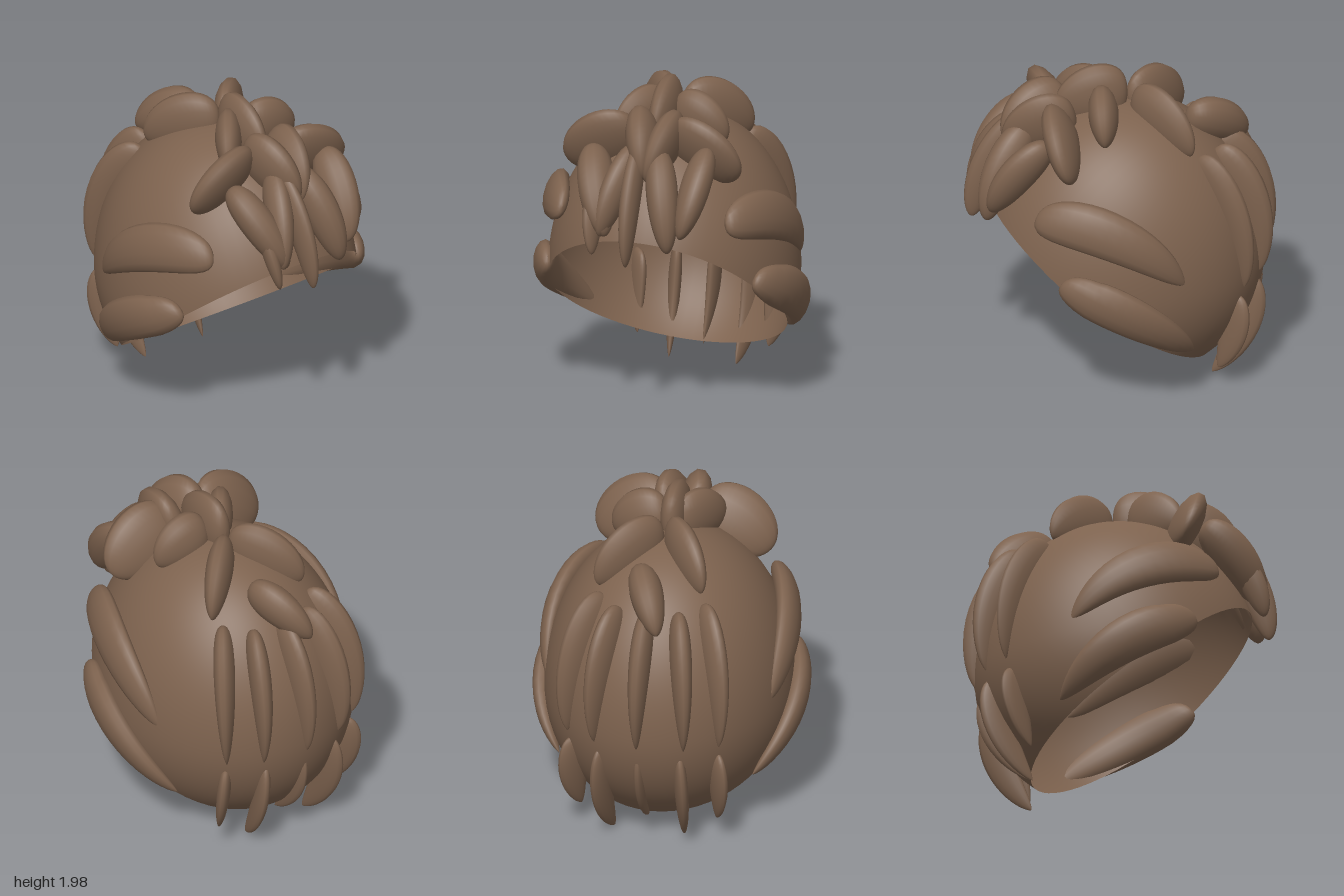
import * as THREE from 'three';

// The dome is an ellipsoid that is taller above its middle than below
const CENTER = new THREE.Vector3(0, 0.75, 0);
const radii = (up) => new THREE.Vector3(0.74, up ? 0.99 : 0.8, 0.86);
const toUnit = (p) => new THREE.Vector3(...p).sub(CENTER).divide(radii(p[1] > CENTER.y));
const toWorld = (u) => u.multiply(radii(u.y > 0)).add(CENTER);

// Point on an arc that follows the dome from root to tip
function arcPoint(a, b, t) {
  const dir = a.clone().normalize().lerp(b.clone().normalize(), t).normalize();
  return toWorld(dir.multiplyScalar(THREE.MathUtils.lerp(a.length(), b.length(), t)));
}

// Curved teardrop lock: w across the dome, d away from it, bow sideways; a low taper gives a blunt tip
function lockGeometry(root, tip, w, d, bow, taper) {
  const a = toUnit(root), b = toUnit(tip);
  const rings = 22, sides = 14, pos = [], idx = [];
  const swell = (t) => Math.pow(t, 0.4) * Math.pow(1 - t, taper);
  const peak = swell(0.4 / (0.4 + taper));
  for (let i = 0; i <= rings; i++) {
    const t = (1 - Math.cos((Math.PI * i) / rings)) / 2;
    const p = arcPoint(a, b, t);
    const T = arcPoint(a, b, t + 0.01).sub(arcPoint(a, b, t - 0.01)).normalize();
    const R = radii(p.y > CENTER.y);
    const N = p.clone().sub(CENTER).divide(R).divide(R);
    N.addScaledVector(T, -N.dot(T)).normalize();
    const B = new THREE.Vector3().crossVectors(T, N);
    p.addScaledVector(B, bow * Math.sin(Math.PI * t));
    const r = Math.max(0.005, swell(Math.min(t, 1)) / peak);
    for (let j = 0; j < sides; j++) {
      const q = (j / sides) * Math.PI * 2;
      const v = p.clone().addScaledVector(B, w * r * Math.cos(q)).addScaledVector(N, d * r * Math.sin(q));
      pos.push(v.x, v.y, v.z);
      if (i < rings) {
        const k = i * sides + j, n = i * sides + ((j + 1) % sides);
        idx.push(k, k + sides, n, k + sides, n + sides, n);
      }
    }
  }
  const g = new THREE.BufferGeometry();
  g.setAttribute('position', new THREE.Float32BufferAttribute(pos, 3));
  g.setIndex(idx);
  g.computeVertexNormals();
  return g;
}

// Open cap, cut along a slope from the forehead down to the nape
function capGeometry() {
  const g = new THREE.SphereGeometry(1, 64, 40, 0, Math.PI * 2, 0, 1.82);
  g.rotateX(-0.66);
  const pos = g.attributes.position, normal = g.attributes.normal;
  for (let i = 0; i < pos.count; i++) {
    const u = new THREE.Vector3().fromBufferAttribute(pos, i);
    const n = u.clone().divide(radii(u.y > 0)).normalize();
    const p = toWorld(u);
    pos.setXYZ(i, p.x, p.y, p.z);
    normal.setXYZ(i, n.x, n.y, n.z);
  }
  return g;
}

export function createModel() {
  const model = new THREE.Group();
  model.name = 'hairpiece';
  const brown = new THREE.MeshStandardMaterial({ color: 0x7d624e, side: THREE.DoubleSide });
  brown.name = 'brown hair';

  const cap = new THREE.Mesh(capGeometry(), brown);
  cap.name = 'cap';
  model.add(cap);

  function addLocks(name, taper, mirrored, list) {
    const group = new THREE.Group();
    group.name = name;
    for (const [root, tip, w, d, bow = 0] of list) {
      for (const s of mirrored ? [1, -1] : [1]) {
        const flip = (p) => [p[0] * s, p[1], p[2]];
        const lock = new THREE.Mesh(lockGeometry(flip(root), flip(tip), w, d, bow * s, taper), brown);
        lock.name = name + 'Lock';
        group.add(lock);
      }
    }
    model.add(group);
  }

  // Broad locks arching back over each side
  addLocks('side', 0.75, true, [
    [[0.51, 1.25, 0.57], [0.68, 0.83, -0.3], 0.15, 0.07, -0.09],
    [[0.65, 0.88, 0.43], [0.59, 0.35, -0.36], 0.14, 0.075, -0.09],
  ]);

  // Upright blades down the back, in two rows
  addLocks('upperBack', 0.85, true, [
    [[0.3, 1.48, -0.42], [0.46, 0.68, -0.68], 0.065, 0.14],
    [[0.18, 1.48, -0.55], [0.27, 0.68, -0.79], 0.065, 0.14],
  ]);
  addLocks('middleBack', 0.85, false, [
    [[0, 1.48, -0.58], [0, 0.68, -0.84], 0.065, 0.14],
    [[0, 0.66, -0.76], [0, 0.1, -0.53], 0.035, 0.1],
  ]);
  addLocks('nape', 0.7, true, [
    [[0.23, 0.64, -0.74], [0.21, 0, -0.52], 0.04, 0.1],
    [[0.43, 0.62, -0.63], [0.41, 0.13, -0.53], 0.04, 0.1],
  ]);

  // Locks reaching out over both temples
  addLocks('temple', 0.5, true, [
    [[0.1, 1.72, 0.38], [0.51, 1.46, 0.37], 0.09, 0.21],
  ]);

  // Loose locks along the crown
  addLocks('crown', 0.6, false, [
    [[0.03, 1.76, -0.07], [0.35, 1.52, -0.38], 0.08, 0.18],
    [[-0.01, 1.76, -0.05], [-0.29, 1.55, -0.4], 0.08, 0.18],
    [[0.08, 1.65, -0.39], [-0.1, 1.42, -0.76], 0.1, 0.14],
    [[0.04, 1.79, 0.11], [0.37, 1.62, 0.14], 0.09, 0.17],
    [[-0.03, 1.79, 0.06], [-0.24, 1.65, 0.36], 0.08, 0.17],
    [[0, 1.81, -0.04], [0, 1.68, 0.38], 0.08, 0.2],
    [[-0.08, 1.75, 0.31], [0.03, 1.52, 0.69], 0.1, 0.2],
    [[0.12, 1.74, 0.29], [0.05, 1.5, 0.69], 0.09, 0.2],
  ]);

  // Fringe hanging over the forehead
  addLocks('fringe', 0.55, false, [
    [[-0.33, 1.62, 0.49], [-0.16, 1.18, 0.83], 0.105, 0.13],
    [[-0.26, 1.47, 0.68], [-0.23, 1.07, 0.86], 0.045, 0.08],
    [[-0.05, 1.66, 0.52], [-0.19, 1.18, 0.84], 0.08, 0.12],
    [[-0.03, 1.69, 0.54], [-0.01, 1.02, 0.89], 0.055, 0.11],
    [[0.09, 1.66, 0.56], [0.23, 1.11, 0.83], 0.095, 0.12],
    [[0.36, 1.66, 0.47], [0.3, 1.2, 0.81], 0.09, 0.13],
  ]);

  return model;
}
